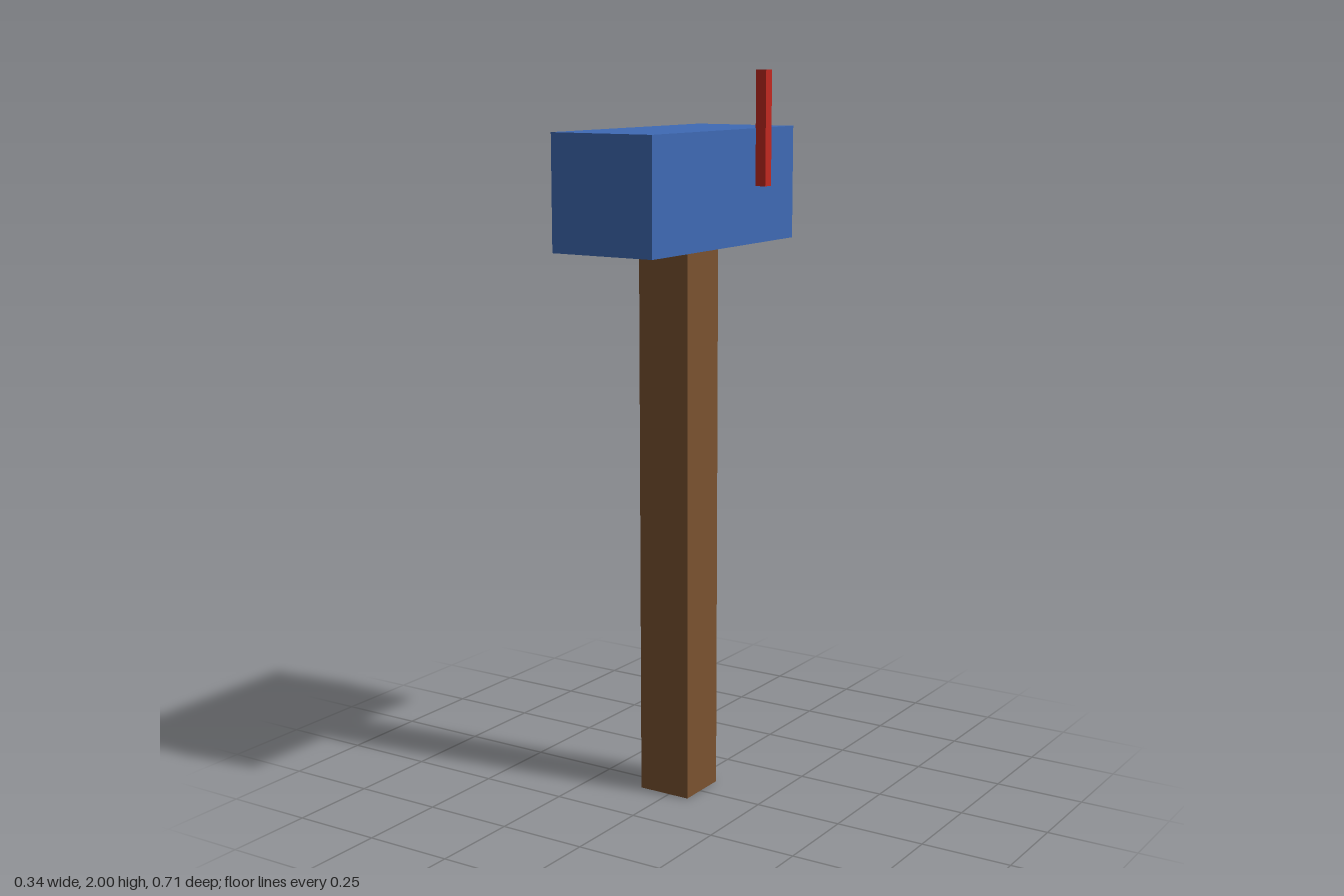
import * as THREE from 'three';

// Adds a named box given its size and centre
function addBox(group, name, color, size, centre) {
  const material = new THREE.MeshStandardMaterial({ color });
  const mesh = new THREE.Mesh(new THREE.BoxGeometry(...size), material);
  mesh.name = name;
  mesh.position.set(...centre);
  group.add(mesh);
}

export function createModel() {
  const group = new THREE.Group();
  group.name = 'mailbox';

  // Square wooden post
  addBox(group, 'post', 0x7a5230, [0.154, 1.538, 0.154], [-0.016, 0.769, -0.008]);
  // Long box sitting on the post
  addBox(group, 'letterBox', 0x3f6ab5, [0.308, 0.308, 0.71], [-0.016, 1.692, 0]);
  // Upright signal flag on the left side
  addBox(group, 'signalFlag', 0xc22820, [0.031, 0.308, 0.031], [0.153, 1.846, -0.166]);

  return group;
}
